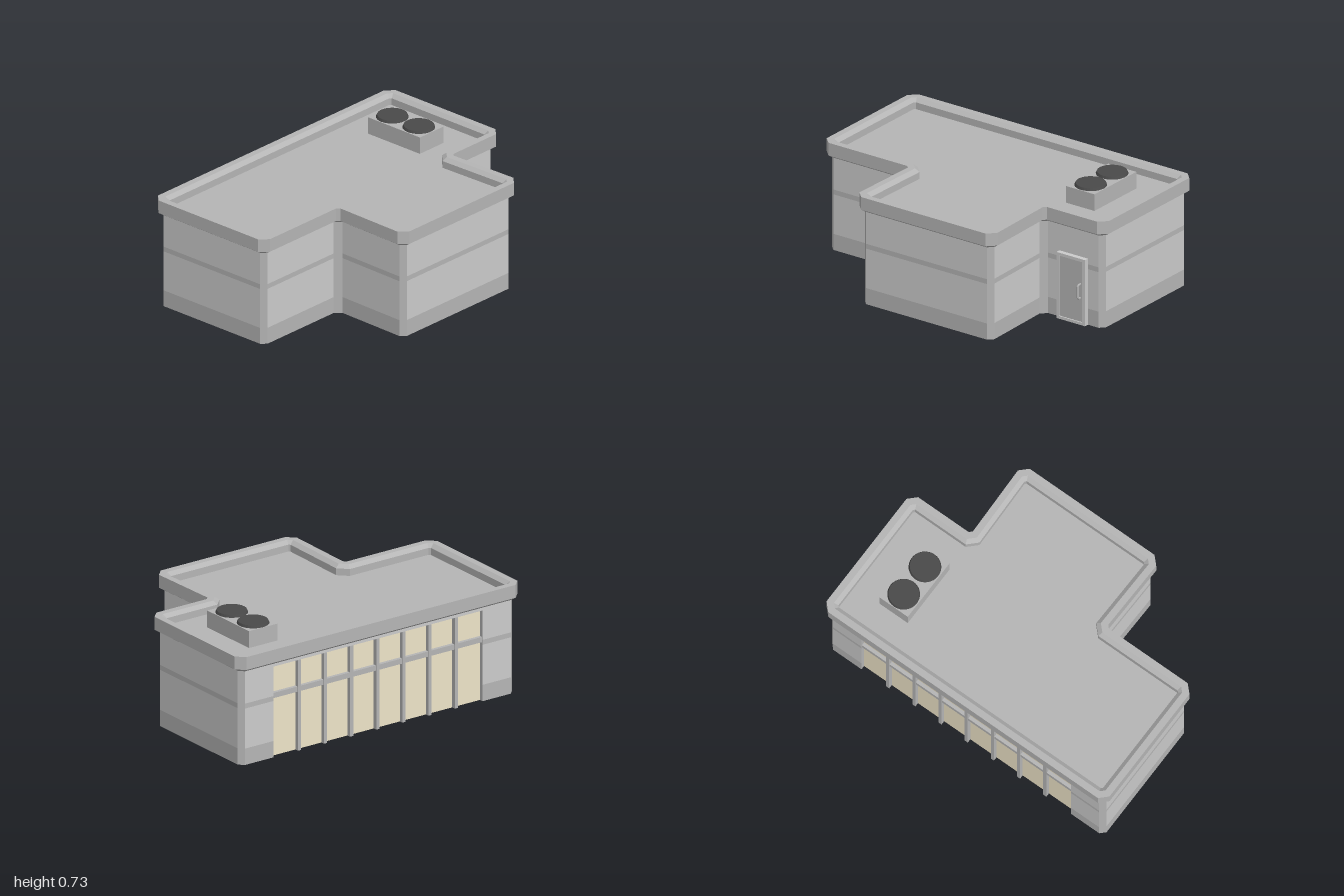
import * as THREE from 'three';
import { mergeGeometries } from 'three/addons/utils/BufferGeometryUtils.js';

const material = (color) => new THREE.MeshStandardMaterial({ color, side: THREE.DoubleSide, flatShading: true });

// T-shaped floor plan with chamfered corners, as [x, z]
const plan = [
  [-0.97, -0.63], [-0.94, -0.66], [0.94, -0.66], [0.97, -0.63],
  [0.97, 0.115], [0.94, 0.145], [0.583, 0.145], [0.548, 0.18],
  [0.56, 0.63], [0.53, 0.66], [-0.327, 0.66], [-0.357, 0.63],
  [-0.348, 0.18], [-0.383, 0.145], [-0.94, 0.145], [-0.97, 0.115],
];

// Moves every side of the plan outwards by d
function offsetPlan(d) {
  const normal = (a, b) => {
    const l = Math.hypot(b[0] - a[0], b[1] - a[1]);
    return [(b[1] - a[1]) / l, (a[0] - b[0]) / l];
  };
  const n = plan.length;
  return plan.map((p, i) => {
    const m = normal(plan[(i + n - 1) % n], p), k = normal(p, plan[(i + 1) % n]);
    const s = d / (1 + m[0] * k[0] + m[1] * k[1]);
    return [p[0] + s * (m[0] + k[0]), p[1] + s * (m[1] + k[1])];
  });
}

// Quad between two lower and two upper plan points
function quad(a, b, y0, y1, aTop = a, bTop = b) {
  const g = new THREE.BufferGeometry();
  g.setAttribute('position', new THREE.Float32BufferAttribute([
    a[0], y0, a[1], aTop[0], y1, aTop[1], bTop[0], y1, bTop[1], b[0], y0, b[1]], 3));
  g.setIndex([0, 1, 2, 0, 2, 3]);
  g.computeVertexNormals();
  return g;
}

// Box given by its minimum and maximum corners
function box(x0, x1, y0, y1, z0, z1) {
  return new THREE.BoxGeometry(x1 - x0, y1 - y0, z1 - z0)
    .translate((x0 + x1) / 2, (y0 + y1) / 2, (z0 + z1) / 2);
}

export function createModel() {
  const model = new THREE.Group();
  const light = material(0xcccccc), trim = material(0xb5b5b5);
  const dark = material(0x4a4a4a), glass = material(0xeee4c8);
  const add = (name, geometry, mat, parent = model) => {
    const mesh = new THREE.Mesh(geometry, mat);
    mesh.name = name;
    parent.add(mesh);
    return mesh;
  };

  // Walls: plinth and stripe on the long sides, plain posts on the chamfers
  const wallTop = 0.6, winX = 0.74, winTop = 0.555, backZ = -0.66, paneZ = -0.635;
  const wallQuads = [], bandQuads = [], postQuads = [];
  const wallSide = (a, b) => {
    bandQuads.push(quad(a, b, 0, 0.1), quad(a, b, 0.345, 0.375));
    wallQuads.push(quad(a, b, 0.1, 0.345), quad(a, b, 0.375, wallTop));
  };
  plan.forEach((a, i) => {
    const b = plan[(i + 1) % plan.length];
    if (Math.hypot(b[0] - a[0], b[1] - a[1]) < 0.1) postQuads.push(quad(a, b, 0, wallTop));
    else if (i === 1) { // back side, left open for the windows
      wallSide(a, [-winX, backZ]);
      wallSide([winX, backZ], b);
    } else wallSide(a, b);
  });
  add('walls', mergeGeometries(wallQuads), light);
  add('wallBands', mergeGeometries(bandQuads), trim);
  add('cornerPosts', mergeGeometries(postQuads), trim);

  // Cornice and parapet, lofted round the plan from [offset, y]
  const profile = [[0, 0.573], [0.03, 0.593], [0.03, 0.672], [-0.01, 0.672], [-0.035, 0.652], [-0.035, 0.61]];
  const rings = profile.map(([d]) => offsetPlan(d));
  const corniceQuads = [];
  for (let r = 0; r < rings.length - 1; r++) {
    plan.forEach((_, i) => {
      const j = (i + 1) % plan.length;
      corniceQuads.push(quad(rings[r][i], rings[r][j], profile[r][1], profile[r + 1][1], rings[r + 1][i], rings[r + 1][j]));
    });
  }
  add('cornice', mergeGeometries(corniceQuads), trim);

  // Roof slab
  const roofShape = new THREE.Shape(plan.map(([x, z]) => new THREE.Vector2(x, -z)));
  const roof = new THREE.ExtrudeGeometry(roofShape, { depth: 0.012, bevelEnabled: false });
  add('roof', roof.rotateX(-Math.PI / 2).translate(0, 0.598, 0), trim);

  // Recessed back windows: header, jambs, panes, mullions and rail
  const windows = new THREE.Group();
  windows.name = 'windows';
  model.add(windows);
  add('windowHeader', box(-winX, winX, winTop, wallTop, backZ, paneZ), light, windows);
  for (const s of [-1, 1]) {
    add('windowJamb', quad([s * winX, backZ], [s * winX, paneZ], 0, winTop), trim, windows);
  }
  const columns = 8, step = (2 * winX) / columns;
  for (let i = 0; i < columns; i++) {
    const x = -winX + i * step;
    add('windowPane', quad([x, paneZ], [x + step, paneZ], 0, winTop), glass, windows);
    if (i > 0) add('mullion', box(x - 0.011, x + 0.011, 0, winTop, backZ, paneZ), trim, windows);
  }
  add('windowRail', box(-winX, winX, 0.36, 0.392, backZ + 0.004, paneZ), trim, windows);

  // Door with frame and handle
  const door = new THREE.Group();
  door.name = 'door';
  model.add(door);
  const rect = (T, x0, x1, y0, y1) => new T([[x0, y0], [x1, y0], [x1, y1], [x0, y1]].map((p) => new THREE.Vector2(...p)));
  const frame = rect(THREE.Shape, 0.663, 0.865, 0, 0.41);
  frame.holes.push(rect(THREE.Path, 0.68, 0.845, 0.017, 0.392));
  add('doorFrame', new THREE.ExtrudeGeometry(frame, { depth: 0.1, bevelEnabled: false }).translate(0, 0, 0.074), light, door);
  add('doorPanel', box(0.68, 0.845, 0.017, 0.392, 0.075, 0.167), trim, door);
  const handlePath = new THREE.CurvePath();
  const pts = [[0.165, 0.165], [0.165, 0.184], [0.173, 0.191], [0.242, 0.191], [0.25, 0.184], [0.25, 0.165]]
    .map(([y, z]) => new THREE.Vector3(0.826, y, z));
  for (let i = 0; i < pts.length - 1; i++) handlePath.add(new THREE.LineCurve3(pts[i], pts[i + 1]));
  add('doorHandle', new THREE.TubeGeometry(handlePath, 30, 0.006, 6), trim, door);

  // Rooftop cooling unit with two fans
  const cooler = new THREE.Group();
  cooler.name = 'coolingUnit';
  model.add(cooler);
  add('unitBody', box(0.562, 0.762, 0.605, 0.713, -0.457, -0.055), trim, cooler);
  for (const z of [-0.36, -0.155]) {
    add('fan', new THREE.CylinderGeometry(0.087, 0.094, 0.016, 32), dark, cooler).position.set(0.662, 0.72, z);
  }
  return model;
}
